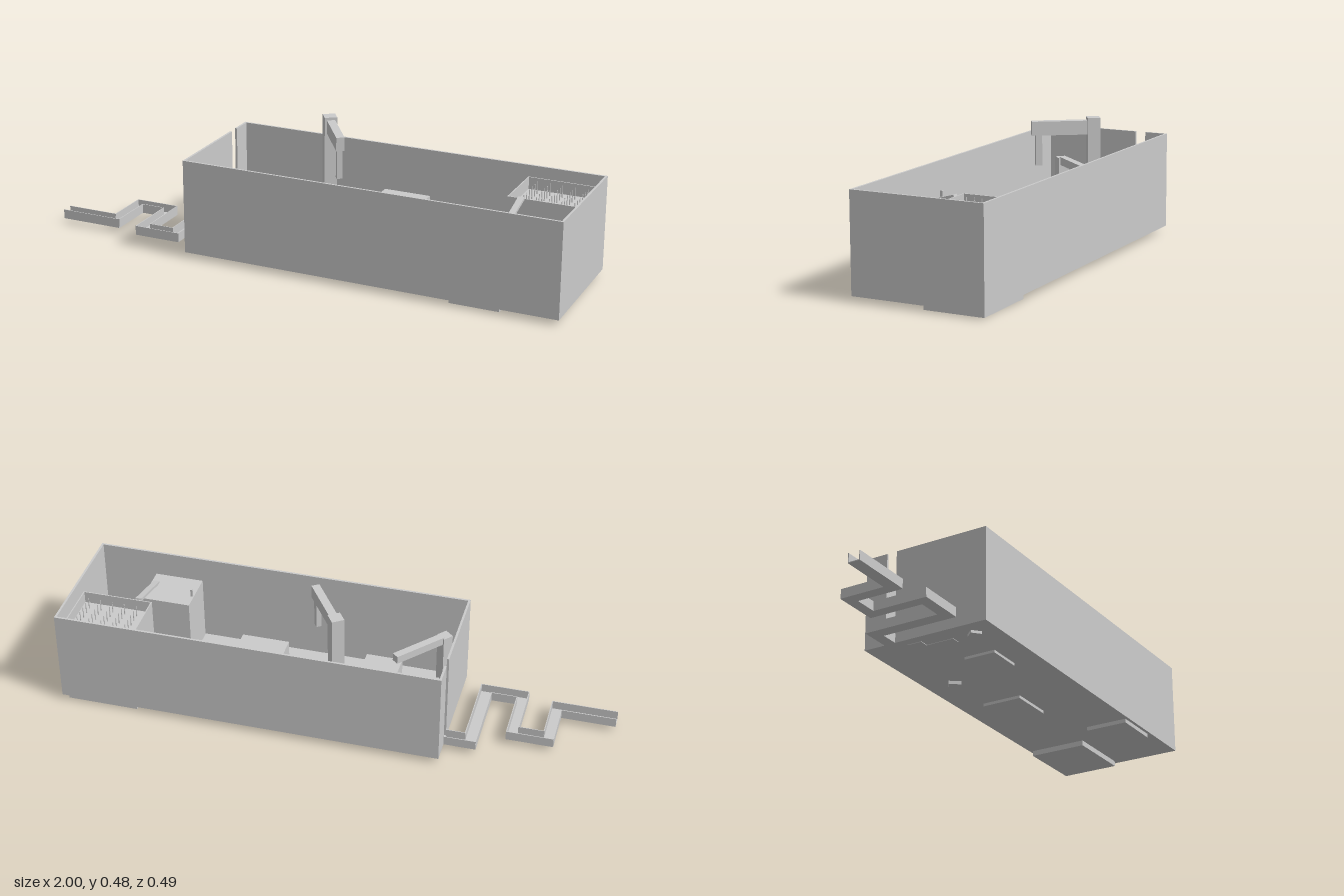
import * as THREE from 'three';

const mat = new THREE.MeshStandardMaterial({ color: 0xcccccc, flatShading: true, side: THREE.DoubleSide });

// box given by its min and max on each axis
function slab(parent, name, x0, x1, y0, y1, z0, z1) {
  const m = new THREE.Mesh(new THREE.BoxGeometry(x1 - x0, y1 - y0, z1 - z0), mat);
  m.position.set((x0 + x1) / 2, (y0 + y1) / 2, (z0 + z1) / 2);
  m.name = name;
  parent.add(m);
  return m;
}

function group(parent, name) {
  const g = new THREE.Group();
  g.name = name;
  parent.add(g);
  return g;
}

// upright post with an arm reaching along its local +z
function crane(parent, name, x, z, angle, postSide, y0, y1) {
  const g = group(parent, name);
  g.position.set(x, 0, z);
  g.rotation.y = angle;
  const h = postSide / 2;
  slab(g, 'post', -h, h, y0, y1, -h, h);
  return g;
}

export function createModel() {
  const root = new THREE.Group();
  root.name = 'roomWithCorridor';

  // open room with a doorway slit in the -x wall
  const room = group(root, 'room');
  const t = 0.008, B = 0.02, T = 0.372, X0 = -0.42, X1 = 1, Z = 0.245;
  slab(room, 'floor', X0, X1, B, B + t, -Z, Z);
  slab(room, 'frontWall', X0, X1, B, T, Z - t, Z);
  slab(room, 'backWall', X0, X1, B, T, -Z, -Z + t);
  slab(room, 'endWall', X1 - t, X1, B, T, -Z + t, Z - t);
  slab(room, 'doorWallLong', X0, X0 + t, B, T, -0.12, Z - t);
  slab(room, 'doorWallShort', X0, X0 + t, B, T, -Z + t, -0.16);

  // winding corridor: floor outline plus low walls along both sides
  const corridor = group(root, 'corridor');
  const sideA = [[-1, 0.095], [-0.8, 0.095], [-0.8, -0.075], [-0.63, -0.075], [-0.63, 0.13],
    [-0.535, 0.13], [-0.535, -0.16], [X0, -0.16]];
  const sideB = [[-1, 0.138], [-0.76, 0.138], [-0.76, -0.038], [-0.668, -0.038], [-0.668, 0.17],
    [-0.49, 0.17], [-0.49, -0.12], [X0, -0.12]];
  const outline = [...sideA, ...[...sideB].reverse()].map(([x, z]) => new THREE.Vector2(x, -z));
  const floorGeo = new THREE.ExtrudeGeometry(new THREE.Shape(outline), { depth: 0.003, bevelEnabled: false });
  floorGeo.rotateX(-Math.PI / 2);
  const floor = new THREE.Mesh(floorGeo, mat);
  floor.position.y = B;
  floor.name = 'corridorFloor';
  corridor.add(floor);
  const w = 0.0015;
  for (const side of [sideA, sideB]) {
    for (let i = 1; i < side.length; i++) {
      const [a, b] = side[i - 1], [c, d] = side[i];
      slab(corridor, 'corridorWall', Math.min(a, c) - (a === c ? w : 0), Math.max(a, c) + (a === c ? w : 0),
        B, 0.055, Math.min(b, d) - (b === d ? w : 0), Math.max(b, d) + (b === d ? w : 0));
    }
  }

  // plain blocks standing on the floor
  slab(root, 'middleBlock', 0.2, 0.375, 0.009, 0.232, -0.145, -0.01 + 0.02);
  slab(root, 'lowBlock', -0.195, -0.06, 0.01, 0.13, 0.02, 0.142);
  slab(root, 'cornerBlock', 0.602, 0.785, 0.005, 0.278, 0.07, 0.233);
  slab(root, 'cornerKnob', 0.606, 0.614, 0.278, 0.308, 0.126, 0.134);

  // tray with a thin rim and rows of pins
  const tray = group(root, 'pinTray');
  const [a, b, c, d] = [0.714, 0.979, -0.233, -0.012], r = 0.004;
  slab(tray, 'trayBody', a, b, 0, 0.285, c, d);
  slab(tray, 'rim', a, a + r, 0.285, 0.33, c, d);
  slab(tray, 'rim', b - r, b, 0.285, 0.33, c, d);
  slab(tray, 'rim', a, b, 0.285, 0.33, c, c + r);
  slab(tray, 'rim', a, b, 0.285, 0.33, d - r, d);
  for (let i = 0; i < 5; i++) {
    for (let j = 0; j < 6; j++) {
      const pin = new THREE.Mesh(new THREE.CylinderGeometry(0.0015, 0.0025, 0.045, 5), mat);
      pin.position.set(0.762 + i * 0.046, 0.3075, -0.195 + j * 0.029);
      pin.name = 'pin';
      tray.add(pin);
    }
  }

  // plank sloping from the tray rim down to the corner block
  const plank = slab(root, 'plank', -0.011, 0.011, -0.005, 0.005, -0.1, 0.1);
  plank.position.set(0.766, 0.305, 0.085);
  plank.rotation.x = 0.27;

  // tall post with an arm and a hanging spout
  const tall = crane(root, 'tallCrane', -0.016, -0.133, 0.6, 0.046, 0.007, 0.485);
  slab(tall, 'arm', -0.015, 0.015, 0.425, 0.475, 0.02, 0.222);
  slab(tall, 'spout', -0.01, 0.01, 0.316, 0.426, 0.185, 0.208);

  // shorter post with an arm pointing back across the room
  const short = crane(root, 'shortCrane', -0.348, 0.157, Math.PI - 0.72, 0.04, 0.01, 0.262);
  slab(short, 'arm', -0.014, 0.014, 0.235, 0.265, 0.01, 0.222);

  // stepped seat beside the doorway
  const seat = group(root, 'steppedSeat');
  slab(seat, 'seatBack', -0.385, -0.315, 0.018, 0.18, -0.09, -0.035);
  slab(seat, 'seatSide', -0.35, -0.315, 0.018, 0.13, -0.035, 0.072);
  const ramp = new THREE.Shape([[-0.035, 0.02], [0.03, 0.02], [0.03, 0.06], [-0.035, 0.13]]
    .map(([z, y]) => new THREE.Vector2(-z, y)));
  const rampMesh = new THREE.Mesh(new THREE.ExtrudeGeometry(ramp, { depth: 0.035, bevelEnabled: false }), mat);
  rampMesh.rotation.y = Math.PI / 2;
  rampMesh.position.x = -0.385;
  rampMesh.name = 'seatRamp';
  seat.add(rampMesh);

  return root;
}
